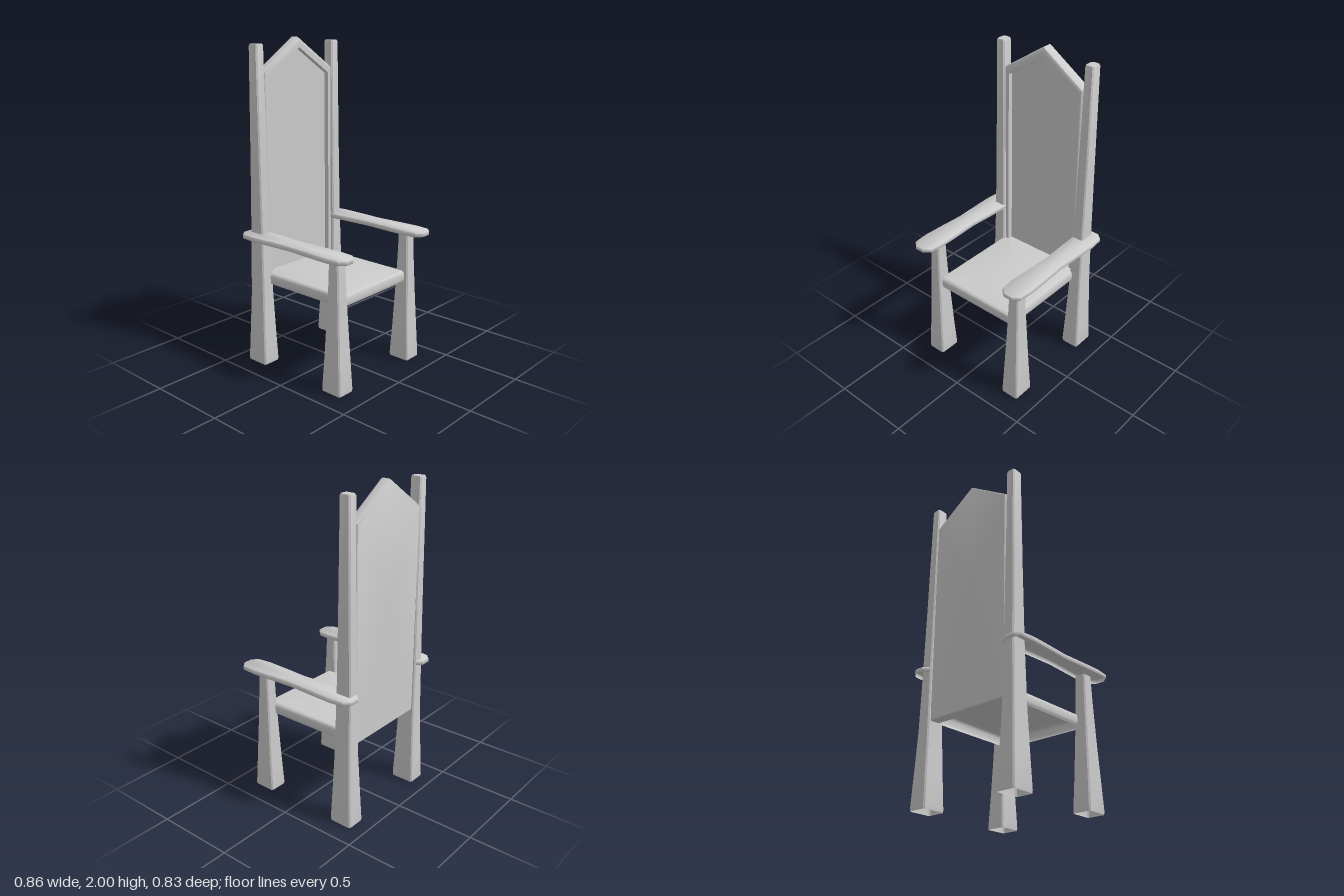
import * as THREE from 'three';
import { toCreasedNormals } from 'three/addons/utils/BufferGeometryUtils.js';

const material = new THREE.MeshStandardMaterial({ color: 0xcccccc, side: THREE.DoubleSide });

// Skin a list of closed rings (counter-clockwise seen from the last ring's side).
function loft(rings, capStart, capEnd, crease = 0.6) {
  const pos = [];
  const n = rings[0].length;
  const tri = (a, b, c) => pos.push(...a, ...b, ...c);
  for (let i = 0; i < rings.length - 1; i++) {
    for (let j = 0; j < n; j++) {
      const k = (j + 1) % n;
      const a = rings[i][j], b = rings[i][k], c = rings[i + 1][k], d = rings[i + 1][j];
      tri(a, b, c);
      tri(a, c, d);
    }
  }
  const cap = (ring, flip) => {
    const mid = [0, 1, 2].map((q) => ring.reduce((s, p) => s + p[q], 0) / n);
    ring.forEach((p, j) => {
      const next = ring[(j + 1) % n];
      if (flip) tri(mid, next, p);
      else tri(mid, p, next);
    });
  };
  if (capStart) cap(rings[0], true);
  if (capEnd) cap(rings[rings.length - 1], false);
  const geometry = new THREE.BufferGeometry();
  geometry.setAttribute('position', new THREE.Float32BufferAttribute(pos, 3));
  return toCreasedNormals(geometry, crease);
}

// Horizontal rectangle with chamfered corners.
function chamferedRect(y, halfX, z0, z1, c) {
  return [
    [halfX, y, z1 - c], [halfX, y, z0 + c], [halfX - c, y, z0], [-halfX + c, y, z0],
    [-halfX, y, z0 + c], [-halfX, y, z1 - c], [-halfX + c, y, z1], [halfX - c, y, z1],
  ];
}

// Tapering post from rows of [y, half width, back z, front z], open below.
function post(rows) {
  return loft(rows.map(([y, w, z0, z1]) => chamferedRect(y, w, z0, z1, 0.008)), false, true);
}

// Gabled outline of the backrest, shrunk by d.
function gable(z, d) {
  const x = 0.287 - d, shoulder = 1.81 - 1.15 * d, low = 0.51 + d;
  return [[x, low, z], [x, shoulder, z], [0, 2 - 1.86 * d, z], [-x, shoulder, z], [-x, low, z]];
}

// Armrest outline, waisted in the middle; symmetric in x and z.
function armOutline(y, d) {
  const quarter = [[0.061, 0], [0.07, 0.17], [0.075, 0.30], [0.066, 0.385], [0.03, 0.417]];
  const front = quarter.map(([x, z]) => [x - d, y, Math.max(0, z - d)]);
  const back = front.slice(1).map(([x, , z]) => [x, y, -z]);
  const right = [...[...front].reverse(), ...back];
  const left = [...right].reverse().map(([x, , z]) => [-x, y, z]);
  return [...right, ...left];
}

export function createModel() {
  const group = new THREE.Group();
  const add = (name, geometry, x = 0) => {
    const mesh = new THREE.Mesh(geometry, material);
    mesh.name = name;
    mesh.position.x = x;
    group.add(mesh);
  };

  // Flared legs: the rear pair runs up as backrest posts
  const frontLeg = post([
    [0, 0.058, 0.222, 0.362], [0.015, 0.06, 0.22, 0.364], [0.2, 0.053, 0.231, 0.354],
    [0.45, 0.044, 0.242, 0.341], [0.65, 0.038, 0.25, 0.332], [0.825, 0.035, 0.255, 0.325],
  ]);
  const backPost = post([
    [0, 0.058, -0.408, -0.26], [0.015, 0.06, -0.41, -0.258], [0.2, 0.053, -0.402, -0.266],
    [0.45, 0.044, -0.392, -0.275], [0.83, 0.037, -0.387, -0.284], [1.3, 0.034, -0.379, -0.292],
    [1.96, 0.03, -0.371, -0.299], [1.97, 0.026, -0.367, -0.303],
  ]);

  // Armrests, thin with eased edges
  const armrest = loft([
    armOutline(0.815, 0.004), armOutline(0.82, 0), armOutline(0.839, 0), armOutline(0.845, 0.005),
  ], false, true, 0.9);

  for (const [side, s] of [['left', 1], ['right', -1]]) {
    add(side + 'FrontLeg', frontLeg, s * 0.32);
    add(side + 'BackPost', backPost, s * 0.32);
    add(side + 'Armrest', armrest, s * 0.355);
  }

  // Seat with rounded rim, open below
  const seatRows = [[0.512, 0.008], [0.52, 0.002], [0.535, 0], [0.56, 0], [0.575, 0.004], [0.583, 0.012], [0.585, 0.02]];
  add('seat', loft(seatRows.map(([y, d]) =>
    chamferedRect(y, 0.3 - d, -0.33, 0.312 - d, 0.002)), false, true));

  // Gabled backrest: flat behind, rounded frame, recessed panel in front
  const backRows = [
    [-0.375, 0.008], [-0.37, 0.002], [-0.362, 0], [-0.318, 0], [-0.307, 0.003],
    [-0.301, 0.01], [-0.3, 0.018], [-0.3, 0.034], [-0.33, 0.035],
  ];
  add('backrest', loft(backRows.map(([z, d]) => gable(z, d)), true, true));

  return group;
}
